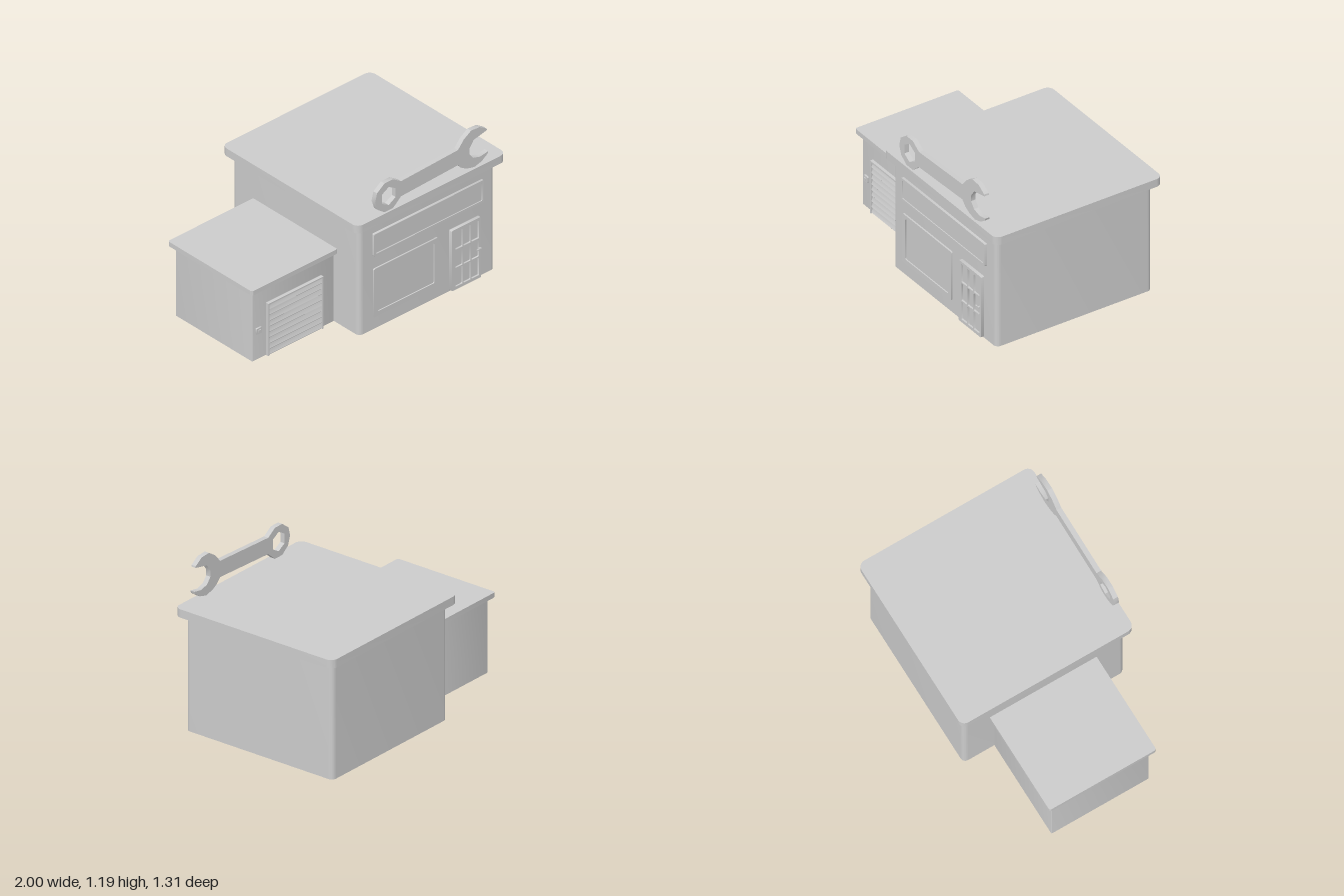
import * as THREE from 'three';
import { toCreasedNormals } from 'three/addons/utils/BufferGeometryUtils.js';

const material = new THREE.MeshStandardMaterial({ color: 0xcccccc });

// Rounded rectangle between two corners, as a Shape or a hole Path
function roundRect(x0, y0, x1, y1, r, Type = THREE.Shape) {
  const s = new Type();
  s.moveTo(x0 + r, y0);
  s.lineTo(x1 - r, y0);
  s.absarc(x1 - r, y0 + r, r, -Math.PI / 2, 0);
  s.lineTo(x1, y1 - r);
  s.absarc(x1 - r, y1 - r, r, 0, Math.PI / 2);
  s.lineTo(x0 + r, y1);
  s.absarc(x0 + r, y1 - r, r, Math.PI / 2, Math.PI);
  s.lineTo(x0, y0 + r);
  s.absarc(x0 + r, y0 + r, r, Math.PI, Math.PI * 1.5);
  return s;
}

const polygon = (points, Type = THREE.Shape) => new Type(points.map(([x, y]) => new THREE.Vector2(x, y)));

function extrude(shape, depth) {
  const geometry = new THREE.ExtrudeGeometry(shape, { depth, bevelEnabled: false, curveSegments: 5 });
  return toCreasedNormals(geometry, 0.6);
}

function add(parent, name, geometry) {
  const mesh = new THREE.Mesh(geometry, material);
  mesh.name = name;
  parent.add(mesh);
  return mesh;
}

// Solid with a rounded plan, standing between two heights
function block(parent, name, [x0, x1], [y0, y1], [z0, z1], r) {
  const geometry = extrude(roundRect(x0, -z1, x1, -z0, r), y1 - y0);
  geometry.rotateX(-Math.PI / 2).translate(0, y0, 0);
  return add(parent, name, geometry);
}

// Upright plate facing the front, with optional holes
function plate(parent, name, shape, z0, z1, holes = []) {
  shape.holes.push(...holes);
  return add(parent, name, extrude(shape, z1 - z0).translate(0, 0, z0));
}

function box(parent, name, x0, x1, y0, y1, z0, z1) {
  const geometry = new THREE.BoxGeometry(x1 - x0, y1 - y0, z1 - z0);
  geometry.translate((x0 + x1) / 2, (y0 + y1) / 2, (z0 + z1) / 2);
  return add(parent, name, geometry);
}

function group(parent, name) {
  const g = new THREE.Group();
  g.name = name;
  parent.add(g);
  return g;
}

export function createModel() {
  const model = new THREE.Group();
  model.name = 'repairShop';

  // Buildings and roofs
  block(model, 'mainBuilding', [-0.25, 0.94], [0, 0.83], [-0.61, 0.61], 0.035);
  block(model, 'mainRoof', [-0.305, 1], [0.83, 0.89], [-0.655, 0.655], 0.05);
  block(model, 'garageBuilding', [-0.965, -0.24], [0, 0.54], [-0.375, 0.365], 0.008);
  block(model, 'garageRoof', [-1, -0.24], [0.54, 0.575], [-0.41, 0.4], 0.018);

  // Sign board
  const sign = group(model, 'signBoard');
  plate(sign, 'signFrame', roundRect(-0.135, 0.573, 0.83, 0.745, 0.008), 0.6, 0.629,
    [roundRect(-0.118, 0.59, 0.813, 0.728, 0.006, THREE.Path)]);
  box(sign, 'signPanel', -0.125, 0.82, 0.583, 0.735, 0.6, 0.622);

  // Shop window
  const win = group(model, 'shopWindow');
  plate(win, 'windowFrame', roundRect(-0.13, 0.095, 0.435, 0.47, 0.012), 0.6, 0.622,
    [roundRect(-0.095, 0.13, 0.4, 0.443, 0.01, THREE.Path)]);
  box(win, 'windowPane', -0.1, 0.405, 0.125, 0.45, 0.6, 0.613);

  // Entrance door with a three by three grid of panes
  const door = group(model, 'entranceDoor');
  const panes = [];
  for (const [x0, x1] of [[0.572, 0.636], [0.644, 0.706], [0.714, 0.778]]) {
    for (const [y0, y1] of [[0.03, 0.166], [0.176, 0.308], [0.318, 0.455]]) {
      panes.push(roundRect(x0, y0, x1, y1, 0.006, THREE.Path));
    }
  }
  plate(door, 'doorFrame', roundRect(0.54, 0.008, 0.798, 0.475, 0.008), 0.605, 0.635, panes);
  box(door, 'doorGlass', 0.565, 0.785, 0.02, 0.46, 0.6, 0.622);
  box(door, 'doorHandleStem', 0.776, 0.788, 0.233, 0.245, 0.63, 0.648);
  box(door, 'doorHandle', 0.752, 0.79, 0.235, 0.243, 0.642, 0.65);

  // Garage shutter: frame with overlapping tilted slats
  const shutter = group(model, 'garageShutter');
  box(shutter, 'shutterLeftPost', -0.845, -0.835, 0, 0.405, 0.355, 0.388);
  box(shutter, 'shutterRightPost', -0.37, -0.36, 0, 0.405, 0.355, 0.388);
  box(shutter, 'shutterLintel', -0.845, -0.36, 0.394, 0.405, 0.355, 0.388);
  const slats = 9, pitch = 0.394 / slats;
  const slatProfile = polygon([[0.355, 0], [0.378, 0], [0.384, 0.007], [0.37, pitch - 0.006], [0.37, pitch], [0.355, pitch]]);
  const slatGeometry = extrude(slatProfile, 0.465).rotateY(-Math.PI / 2);
  for (let i = 0; i < slats; i++) {
    add(shutter, 'shutterSlat', slatGeometry).position.set(-0.37, i * pitch, 0);
  }

  // Shutter control beside the garage door
  const control = group(model, 'shutterControl');
  plate(control, 'controlBox', roundRect(-0.935, 0.2, -0.89, 0.245, 0.006), 0.36, 0.378);
  box(control, 'controlButton', -0.922, -0.903, 0.213, 0.232, 0.37, 0.384);

  // Wrench standing on the front edge of the roof
  const wrench = polygon([
    [0.09, 0.95], [0.59, 0.97], [0.625, 0.932], [0.67, 0.908], [0.735, 0.892], [0.8, 0.91],
    [0.85, 0.945], [0.855, 0.962], [0.785, 0.95], [0.725, 0.967], [0.69, 1.01], [0.692, 1.055],
    [0.727, 1.105], [0.845, 1.13], [0.842, 1.142], [0.78, 1.182], [0.705, 1.187], [0.64, 1.145],
    [0.59, 1.087], [0.09, 1.067], [0.02, 1.113], [-0.055, 1.113], [-0.12, 1.065], [-0.137, 1.0],
    [-0.115, 0.935], [-0.055, 0.89], [0.02, 0.89],
  ]);
  const hexagon = Array.from({ length: 6 }, (_, i) => {
    const a = Math.PI / 2 + i * Math.PI / 3;
    return [-0.018 + 0.07 * Math.cos(a), 1.0 + 0.07 * Math.sin(a)];
  });
  plate(model, 'wrench', wrench, 0.605, 0.64, [polygon(hexagon, THREE.Path)]);

  return model;
}
